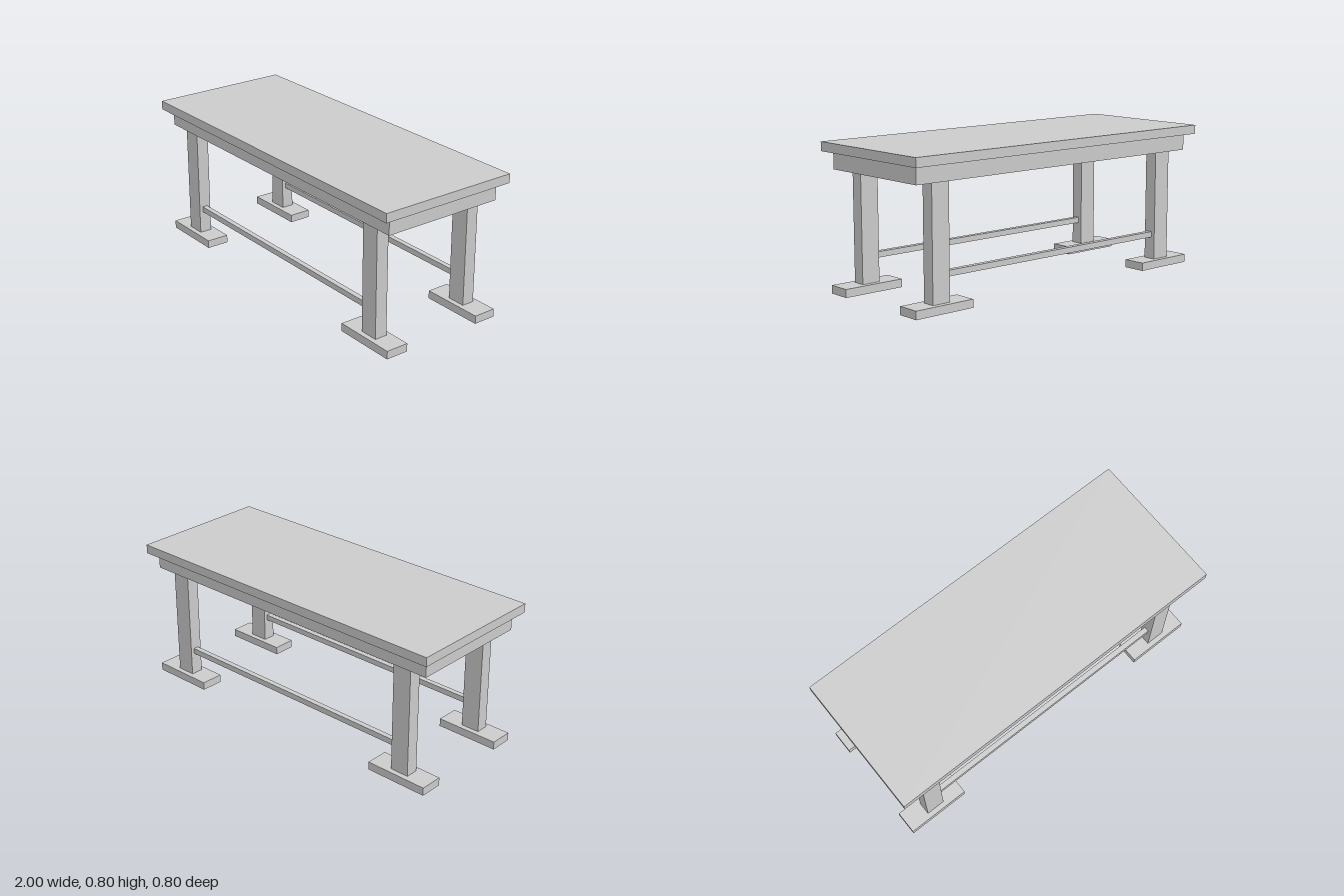
import * as THREE from 'three';

const material = new THREE.MeshStandardMaterial({ color: 0xcccccc, flatShading: true });

// Box given by its size, bottom height and centre in x and z
function box(name, width, height, depth, x, bottom, z) {
  const mesh = new THREE.Mesh(new THREE.BoxGeometry(width, height, depth), material);
  mesh.name = name;
  mesh.position.set(x, bottom + height / 2, z);
  return mesh;
}

export function createModel() {
  const table = new THREE.Group();
  table.name = 'table';

  // Top slab and the solid apron under it
  table.add(box('tableTop', 2, 0.05, 0.8, 0, 0.75, 0));
  table.add(box('apron', 1.92, 0.093, 0.696, 0, 0.657, 0));

  for (const [end, sz] of [['front', 1], ['back', -1]]) {
    const z = sz * 0.296;

    // Leg and foot at each corner
    for (const [side, sx] of [['Left', 1], ['Right', -1]]) {
      const x = sx * 0.8;
      table.add(box(`${end}${side}Leg`, 0.107, 0.612, 0.071, x, 0.045, z));
      table.add(box(`${end}${side}Foot`, 0.36, 0.045, 0.129, x, 0, z));
    }

    // Long rail between the two legs
    table.add(box(`${end}Stretcher`, 1.493, 0.032, 0.03, 0, 0.17, z));
  }

  return table;
}
